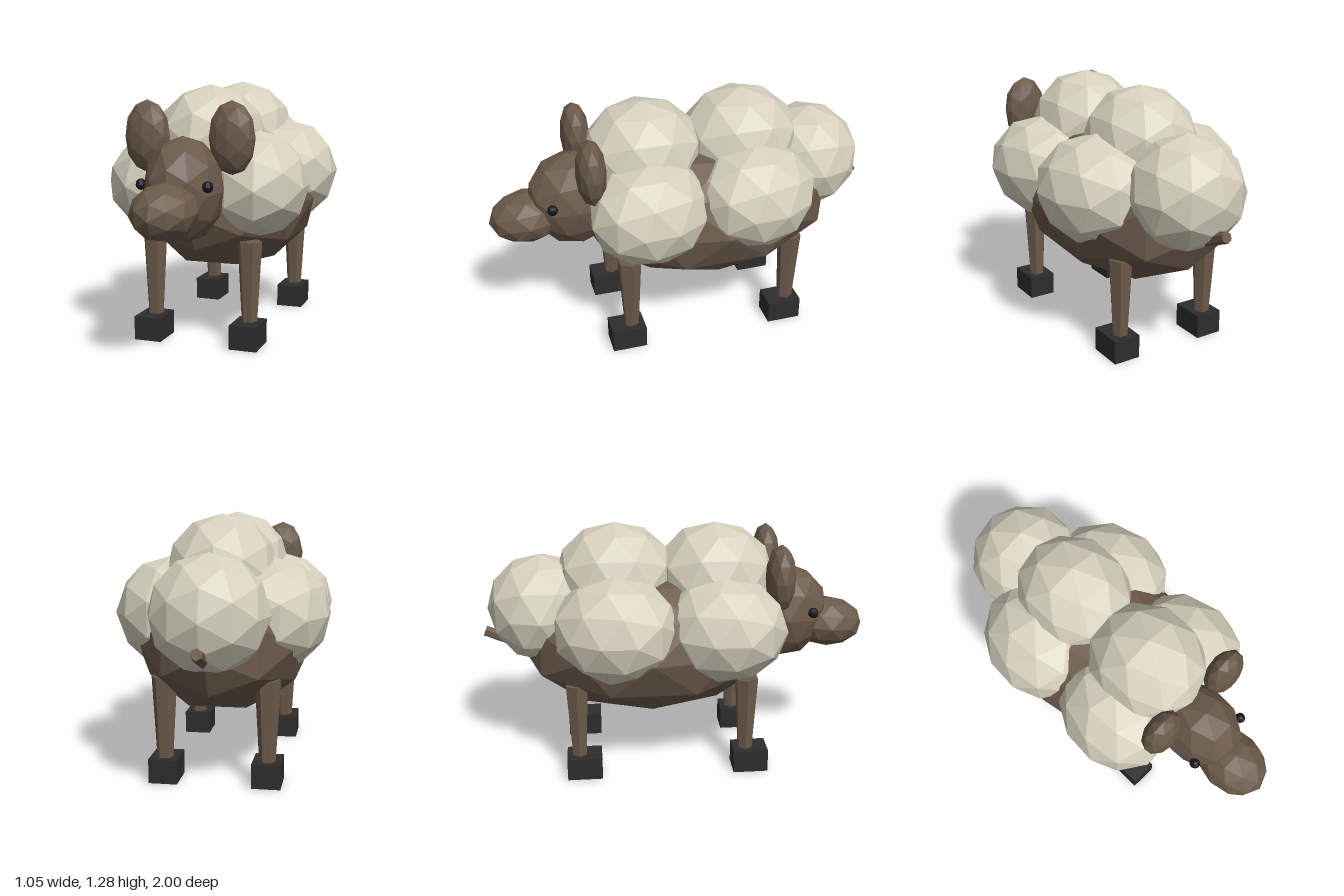
import * as THREE from 'three';

const material = (name, color) => {
  const m = new THREE.MeshStandardMaterial({ color, flatShading: true });
  m.name = name;
  return m;
};

export function createModel() {
  const sheep = new THREE.Group();
  sheep.name = 'sheep';
  const wool = material('cream wool', 0xd6d1bd);
  const skin = material('brown skin', 0x6b5a4a);
  const horn = material('dark hoof', 0x2d2d2d);
  const black = material('eye black', 0x17171b);

  const add = (name, geometry, mat, position, rotation = [0, 0, 0]) => {
    const mesh = new THREE.Mesh(geometry, mat);
    mesh.name = name;
    mesh.position.set(...position);
    mesh.rotation.set(...rotation);
    sheep.add(mesh);
    return mesh;
  };
  // Faceted ellipsoid with the given radii
  const blob = (name, mat, position, radii, rotation) =>
    add(name, new THREE.IcosahedronGeometry(1, 1).scale(...radii), mat, position, rotation);

  // Body and head
  blob('body', skin, [0, 0.675, -0.14], [0.45, 0.38, 0.69]);
  blob('head', skin, [0, 0.79, 0.565], [0.187, 0.255, 0.24], [0.1, 0, 0]);
  blob('muzzle', skin, [0, 0.72, 0.805], [0.155, 0.13, 0.195], [0.08, 0, 0]);

  // Fleece along the back and rump
  blob('frontBackWool', wool, [0, 0.99, 0.2], [0.28, 0.285, 0.31]);
  blob('rearBackWool', wool, [0, 1.0, -0.31], [0.28, 0.285, 0.31]);
  blob('rumpWool', wool, [0, 0.85, -0.69], [0.285, 0.28, 0.28]);

  for (const [side, s] of [['left', 1], ['right', -1]]) {
    // Fleece on the flanks
    blob(side + 'ShoulderWool', wool, [s * 0.235, 0.787, 0.22], [0.275, 0.27, 0.325], [0, s * 0.28, 0]);
    blob(side + 'HaunchWool', wool, [s * 0.25, 0.805, -0.32], [0.28, 0.275, 0.325], [0, s * 0.28, 0]);

    // Ears and eyes
    blob(side + 'Ear', skin, [s * 0.213, 1.032, 0.505], [0.115, 0.175, 0.076]);
    add(side + 'Eye', new THREE.SphereGeometry(0.027, 8, 6), black, [s * 0.163, 0.825, 0.695]);

    // Legs with box hooves set slightly forward
    for (const [end, z] of [['Front', 0.343], ['Rear', -0.525]]) {
      add(side + end + 'Leg', new THREE.CylinderGeometry(0.063, 0.039, 0.42, 6), skin,
        [s * 0.25, 0.31, z], [0, Math.PI / 6, 0]);
      add(side + end + 'Hoof', new THREE.BoxGeometry(0.14, 0.12, 0.18), horn, [s * 0.25, 0.06, z + 0.025]);
    }
  }

  // Short tail pointing back and up
  add('tail', new THREE.CylinderGeometry(0.028, 0.034, 0.22, 6), skin, [0, 0.685, -0.888], [-1.19, 0, 0]);

  return sheep;
}
